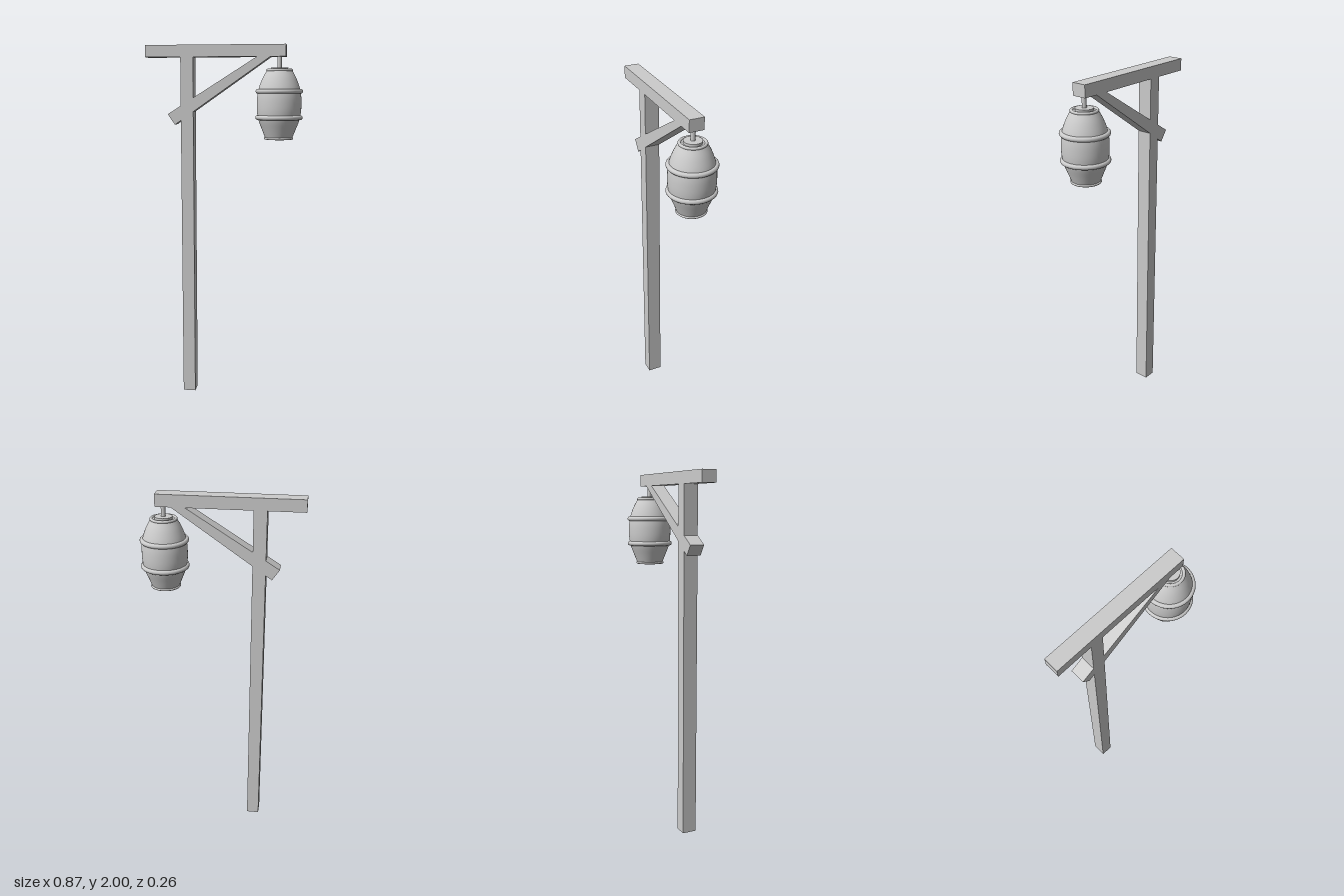
import * as THREE from 'three';

const material = new THREE.MeshStandardMaterial({ color: 0xcccccc, side: THREE.DoubleSide });
const DEPTH = 0.08; // timber thickness along z

function add(parent, name, geometry, x = 0, y = 0, z = 0) {
  const mesh = new THREE.Mesh(geometry, material);
  mesh.name = name;
  mesh.position.set(x, y, z);
  parent.add(mesh);
  return mesh;
}

// Square-cut timber given by its extent in x and y
function timber(parent, name, x0, x1, y0, y1) {
  add(parent, name, new THREE.BoxGeometry(x1 - x0, y1 - y0, DEPTH), (x0 + x1) / 2, (y0 + y1) / 2);
}

function createLantern() {
  const lantern = new THREE.Group();
  lantern.name = 'lantern';

  // Barrel-shaped body
  const curve = new THREE.SplineCurve([
    [0.074, 1.495], [0.092, 1.54], [0.112, 1.592], [0.12, 1.635], [0.122, 1.68],
    [0.12, 1.725], [0.112, 1.768], [0.092, 1.82], [0.07, 1.86],
  ].map(([r, y]) => new THREE.Vector2(r, y)));
  add(lantern, 'lanternBody', new THREE.LatheGeometry(curve.getPoints(32), 48));

  // Flat ends
  add(lantern, 'lanternBase', new THREE.CylinderGeometry(0.075, 0.075, 0.008, 48), 0, 1.494);
  add(lantern, 'lanternTop', new THREE.CylinderGeometry(0.066, 0.066, 0.01, 48), 0, 1.858);
  add(lantern, 'lanternCap', new THREE.CylinderGeometry(0.047, 0.047, 0.018, 48), 0, 1.867);

  // Hoops: height, outer radius, tube radius
  const hoops = [
    ['bottomRim', 1.494, 0.081, 0.006],
    ['lowerHoop', 1.608, 0.13, 0.013],
    ['upperHoop', 1.75, 0.13, 0.013],
    ['topRim', 1.863, 0.073, 0.008],
  ];
  for (const [name, y, outer, tube] of hoops) {
    const ring = add(lantern, name, new THREE.TorusGeometry(outer - tube, tube, 12, 48), 0, y);
    ring.rotation.x = Math.PI / 2;
  }

  // Rod hanging from the beam
  add(lantern, 'hangingRod', new THREE.CylinderGeometry(0.012, 0.012, 0.08, 24), 0, 1.91);
  return lantern;
}

export function createModel() {
  const model = new THREE.Group();
  model.name = 'lampPost';

  timber(model, 'post', -0.238, -0.168, 0, 1.935);
  timber(model, 'beam', -0.435, 0.34, 1.935, 2);

  // Slightly tapered diagonal brace, running through the post up to the beam
  const brace = new THREE.Shape([
    [-0.312, 1.625], [-0.272, 1.567], [0.257, 1.935], [0.183, 1.935],
  ].map(([x, y]) => new THREE.Vector2(x, y)));
  const braceGeometry = new THREE.ExtrudeGeometry(brace, { depth: DEPTH, bevelEnabled: false });
  add(model, 'brace', braceGeometry, 0, 0, -DEPTH / 2);

  const lantern = createLantern();
  lantern.position.x = 0.304;
  model.add(lantern);
  return model;
}
